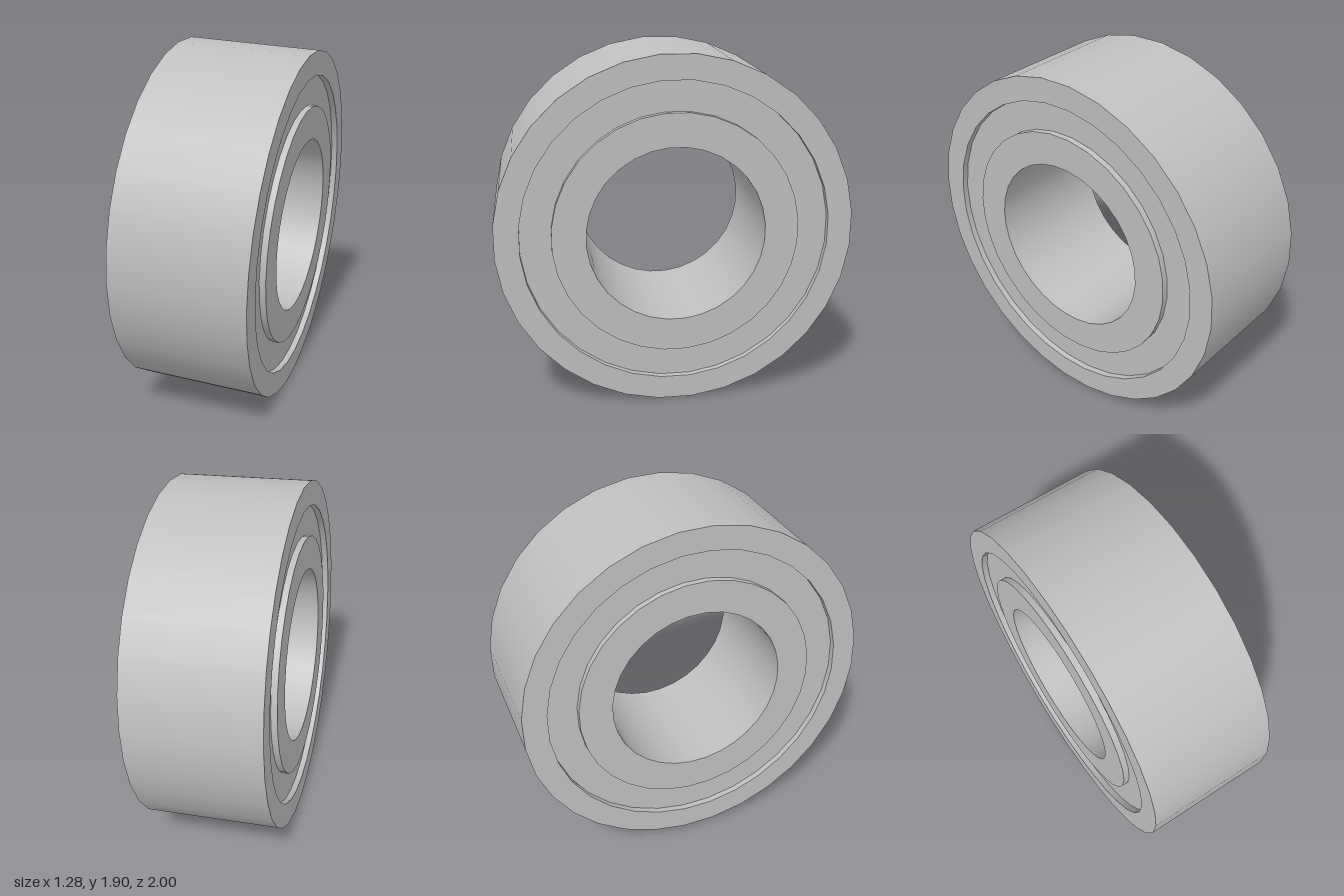
import * as THREE from 'three';
import { mergeGeometries } from 'three/addons/utils/BufferGeometryUtils.js';

const SIDES = 32;
const R = 0.94;        // outer radius
const GROOVE = 0.811;  // inside of the outer ring
const HUB = 0.648;     // outside of the inner ring
const BORE = 0.47;     // centre hole
const H = 0.3525;      // half width
const DEPTH = 0.033;   // how far the shields sit below the rims

// Revolve each profile segment on its own: smooth around, sharp at the corners
function revolve(name, points, material) {
  const bands = [];
  for (let i = 0; i < points.length - 1; i++) {
    const pair = [points[i], points[i + 1]].map(([r, y]) => new THREE.Vector2(r, y));
    bands.push(new THREE.LatheGeometry(pair, SIDES, Math.PI / SIDES));
  }
  const mesh = new THREE.Mesh(mergeGeometries(bands), material);
  mesh.name = name;
  return mesh;
}

export function createModel() {
  const steel = new THREE.MeshStandardMaterial({ color: 0xc0c0c0 });
  steel.name = 'steel grey';

  const model = new THREE.Group();
  model.name = 'ballBearing';
  const F = H - DEPTH;

  const bearing = new THREE.Group();
  bearing.name = 'bearing';
  bearing.add(
    revolve('outerRing', [[GROOVE, -F], [GROOVE, -H], [R, -H], [R, H], [GROOVE, H], [GROOVE, F]], steel),
    revolve('innerRing', [[HUB, F], [HUB, H], [BORE, H], [BORE, -H], [HUB, -H], [HUB, -F]], steel),
    revolve('leftShield', [[GROOVE, F], [HUB, F]], steel),
    revolve('rightShield', [[HUB, -F], [GROOVE, -F]], steel)
  );

  // Tilt the axle: mostly sideways, turned back and slightly down
  const axle = new THREE.Vector3(0.666, -0.035, -0.23).normalize();
  const up = new THREE.Vector3(0, 1, 0).addScaledVector(axle, -axle.y).normalize();
  const across = new THREE.Vector3().crossVectors(up, axle);
  bearing.quaternion.setFromRotationMatrix(new THREE.Matrix4().makeBasis(up, axle, across));
  bearing.position.y = 0.952;

  model.add(bearing);
  return model;
}
